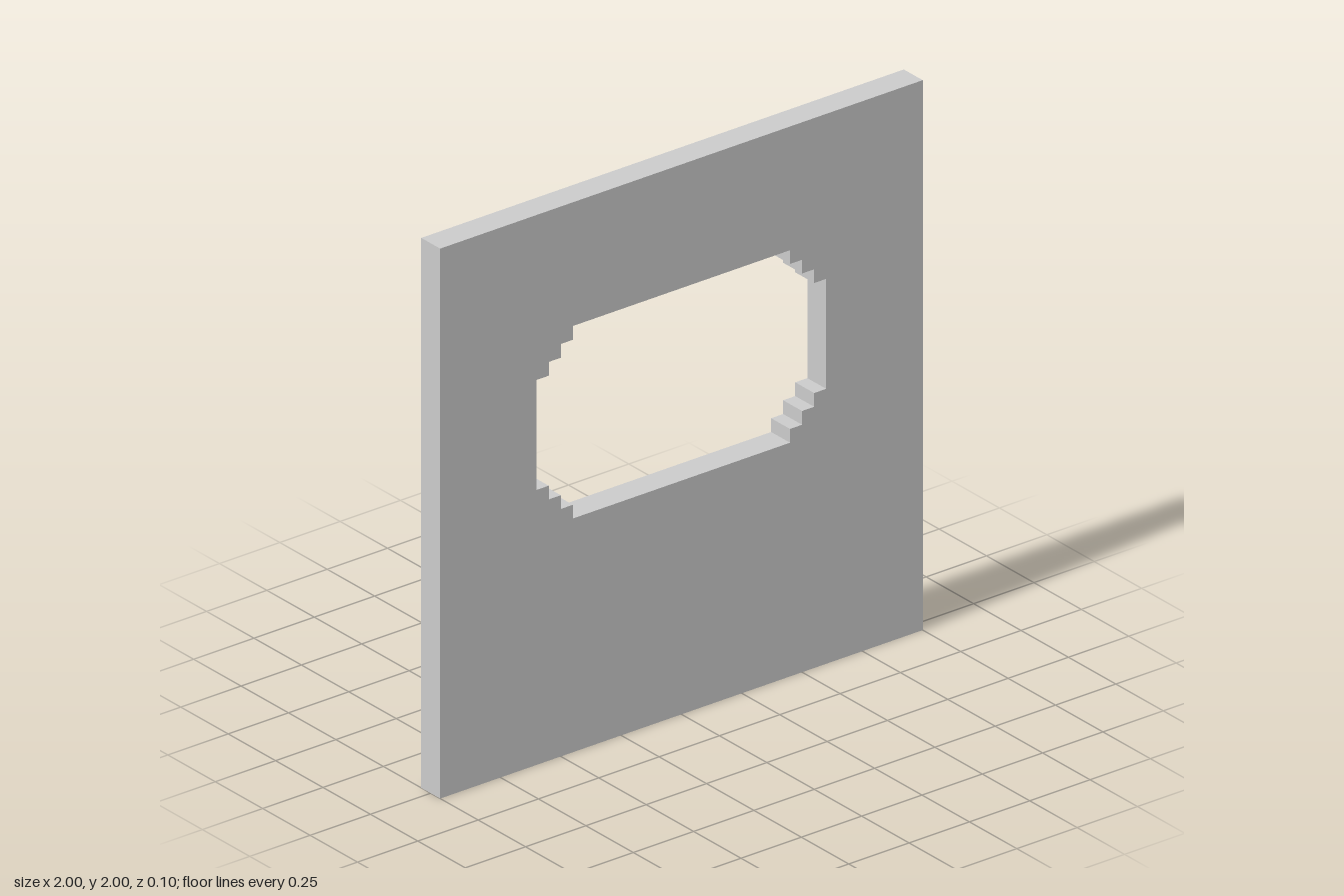
import * as THREE from 'three';

const STEP = 0.05, DEPTH = 0.1, HOLE_Y = 1.2;

// One stepped corner of the opening, from its side edge to its top edge
function steppedCorner() {
  const pts = [];
  for (let i = 0; i < 4; i++) {
    const x = 0.6 - i * STEP, y = 0.2 + i * STEP;
    if (i > 0) pts.push([x, y - STEP]);
    pts.push([x, y]);
  }
  return pts;
}

// Mirror the corner into all four quadrants, in order around the opening
function openingPath() {
  const corner = steppedCorner();
  const reversed = [...corner].reverse();
  const place = (pts, sx, sy) => pts.map(([x, y]) => new THREE.Vector2(sx * x, HOLE_Y + sy * y));
  return new THREE.Path([
    ...place(corner, 1, 1),
    ...place(reversed, -1, 1),
    ...place(corner, -1, -1),
    ...place(reversed, 1, -1),
  ]);
}

export function createModel() {
  const group = new THREE.Group();
  group.name = 'wallWithWindowOpening';

  // Square wall slab with a stepped window opening
  const outline = new THREE.Shape([
    new THREE.Vector2(-1, 0),
    new THREE.Vector2(1, 0),
    new THREE.Vector2(1, 2),
    new THREE.Vector2(-1, 2),
  ]);
  outline.holes.push(openingPath());
  const geometry = new THREE.ExtrudeGeometry(outline, { depth: DEPTH, bevelEnabled: false });
  geometry.translate(0, 0, -DEPTH / 2);

  const wall = new THREE.Mesh(geometry, new THREE.MeshStandardMaterial({ color: 0xcccccc, flatShading: true }));
  wall.name = 'wall';
  group.add(wall);
  return group;
}
